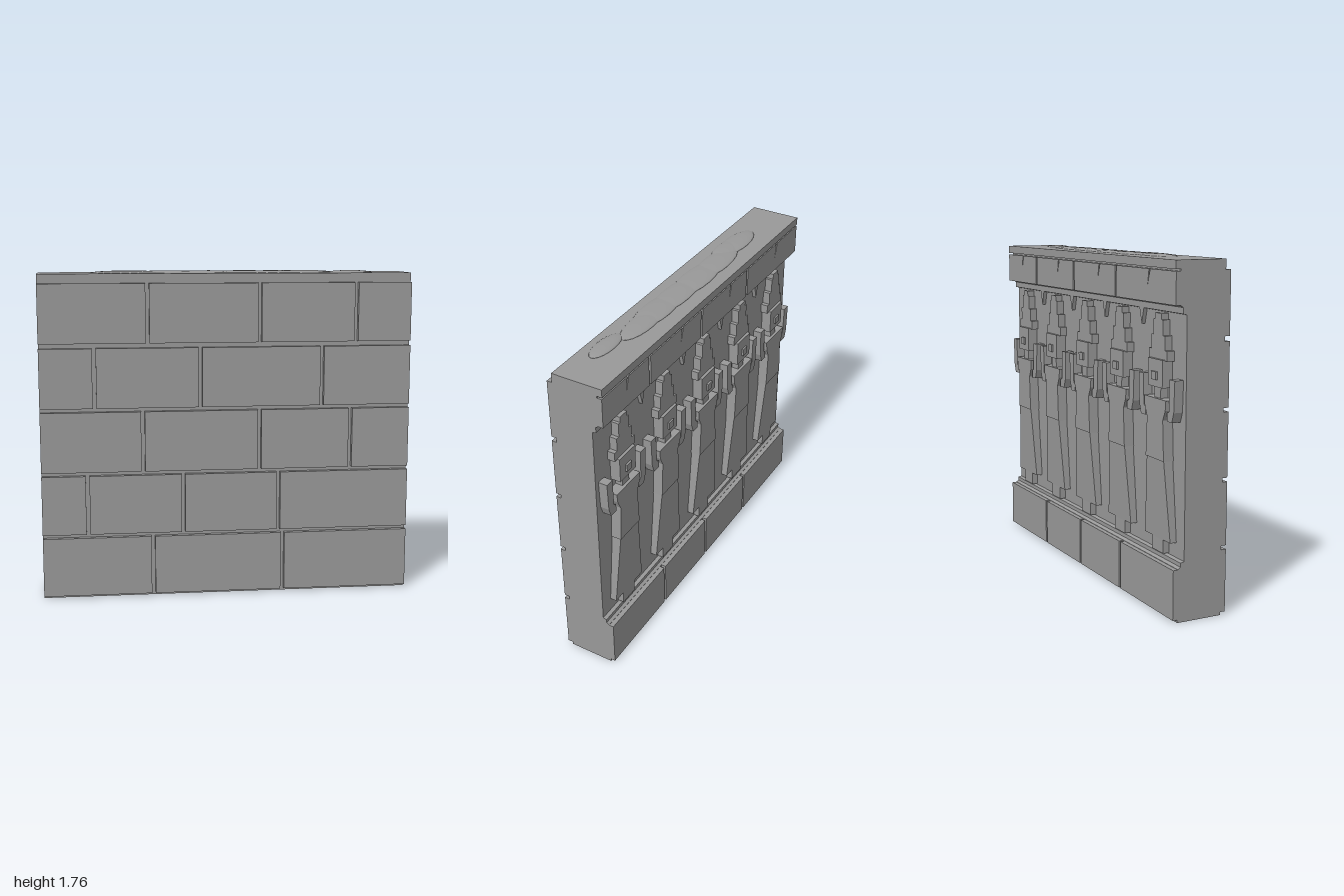
import * as THREE from 'three';

const stone = new THREE.MeshStandardMaterial({ color: 0x999999 });
stone.name = 'grey stone';

function add(parent, name, geometry, x = 0, y = 0, z = 0) {
  const mesh = new THREE.Mesh(geometry, stone);
  mesh.name = name;
  mesh.position.set(x, y, z);
  parent.add(mesh);
  return mesh;
}

// box given by its limits
function block(parent, name, x0, x1, y0, y1, z0, z1) {
  return add(parent, name, new THREE.BoxGeometry(x1 - x0, y1 - y0, z1 - z0),
    (x0 + x1) / 2, (y0 + y1) / 2, (z0 + z1) / 2);
}

function extrude(points, depth) {
  const shape = new THREE.Shape(points.map(([x, y]) => new THREE.Vector2(x, y)));
  return new THREE.ExtrudeGeometry(shape, { depth, bevelEnabled: false });
}

// mirror a right-hand outline to make a closed symmetric one
function symmetric(half) {
  return [...half, ...half.slice().reverse().map(([x, y]) => [-x, y])];
}

// spans between joints along the wall
function spans(joints, gap = 0.02) {
  const edges = [-1 - gap / 2, ...joints, 1 + gap / 2];
  return edges.slice(1).map((e, i) => [edges[i] + gap / 2, e - gap / 2]);
}

// one relief figure, facing local +z with its back on z = 0
function makeFigure() {
  const fig = new THREE.Group();
  fig.name = 'reliefFigure';
  block(fig, 'feet', -0.055, 0.055, 0.31, 0.39, -0.005, 0.033);

  // skirt grows thicker towards the waist
  const skirt = extrude(symmetric([[0.125, 0.38], [0.083, 0.78]]), 0.05);
  const p = skirt.attributes.position;
  for (let i = 0; i < p.count; i++) {
    if (p.getZ(i) > 0.01) p.setZ(i, 0.035 + (p.getY(i) - 0.38) * 0.04);
  }
  skirt.computeVertexNormals();
  add(fig, 'skirt', skirt);

  add(fig, 'torso', extrude(symmetric([[0.088, 0.78], [0.077, 0.98], [0.1, 1.03], [0.105, 1.08]]), 0.055));
  block(fig, 'neck', -0.03, 0.03, 1.07, 1.15, -0.005, 0.04);
  block(fig, 'head', -0.07, 0.07, 1.135, 1.27, -0.005, 0.055);
  block(fig, 'nose', -0.022, 0.022, 1.17, 1.21, 0.05, 0.065);

  // stepped headdress
  const tiers = [[0.088, 1.265, 1.315], [0.065, 1.315, 1.385], [0.045, 1.385, 1.46], [0.03, 1.46, 1.49]];
  for (const [w, y0, y1] of tiers) block(fig, 'headdressTier', -w, w, y0, y1, -0.005, 0.04);

  // raised forearms with bent elbows
  const arm = [[0.105, 0.98], [0.15, 0.98], [0.168, 1.03], [0.175, 1.185], [0.127, 1.185], [0.122, 1.03], [0.105, 1.02]];
  for (const s of [-1, 1]) {
    add(fig, 'raisedArm', extrude(arm.map(([x, y]) => [s * x, y]), 0.048));
  }
  return fig;
}

export function createModel() {
  const model = new THREE.Group();
  model.name = 'carvedWall';

  // wall core: side profile (z, y) swept along x
  const profile = [
    [0.125, 0], [0.125, 1.75], [-0.148, 1.75], [-0.148, 1.708], [-0.12, 1.708], [-0.12, 1.54],
    [-0.105, 1.53], [-0.105, 1.5], [-0.085, 1.495], [-0.085, 0.305], [-0.105, 0.3], [-0.105, 0.28],
    [-0.12, 0.27], [-0.12, 0]];
  const core = extrude(profile, 2);
  core.translate(0, 0, -1);
  core.rotateY(-Math.PI / 2);
  add(model, 'wallCore', core);

  // five courses of front blocks
  const courses = [
    [0.015, 0.335, [-0.405, 0.305]],
    [0.355, 0.675, [-0.755, -0.24, 0.28]],
    [0.695, 1.02, [-0.455, 0.175, 0.675]],
    [1.04, 1.36, [-0.71, -0.145, 0.515]],
    [1.385, 1.7, [-0.425, 0.175, 0.7]]];
  for (const [y0, y1, joints] of courses) {
    for (const [a, b] of spans(joints)) block(model, 'frontBlock', a, b, y0, y1, 0.12, 0.153);
  }

  // back base course
  for (const [a, b] of spans([-0.45, 0.02, 0.48], 0.015)) {
    block(model, 'backBaseBlock', a, b, 0.015, 0.268, -0.145, -0.115);
  }

  // back upper course, each block split by a thin slanted crack
  const cracks = [-0.75, -0.22, 0.28, 0.78];
  spans([-0.4, 0.09, 0.59], 0.015).forEach(([a, b], i) => {
    const c = cracks[i];
    const outline = [[a, 1.54], [b, 1.54], [b, 1.698], [c + 0.006, 1.698], [c + 0.02, 1.615], [c - 0.006, 1.698], [a, 1.698]];
    add(model, 'backUpperBlock', extrude(outline, 0.03), 0, 0, -0.146);
  });

  // pointed drops hanging between the figures
  for (const x of [-0.6, -0.2, 0.2, 0.6]) {
    add(model, 'hangingPoint', extrude([[-0.025, 1.51], [0, 1.42], [0.025, 1.51]], 0.022), x, 0, -0.105);
  }

  // row of figures on the back
  for (let i = -2; i <= 2; i++) {
    const fig = makeFigure();
    fig.position.set(i * 0.4, 0, -0.085);
    fig.rotation.y = Math.PI;
    model.add(fig);
  }

  // shallow lumpy crust along the top: x, z, half length, half width
  const lumps = [
    [-0.56, 0.005, 0.16, 0.065], [-0.47, 0.015, 0.14, 0.06], [-0.3, -0.01, 0.2, 0.072], [-0.1, -0.005, 0.22, 0.078],
    [0.1, 0.0, 0.22, 0.075], [0.28, 0.005, 0.2, 0.075], [0.42, 0.0, 0.18, 0.062], [0.68, 0.04, 0.125, 0.048]];
  for (const [x, z, rx, rz] of lumps) {
    const lump = add(model, 'topCrust', new THREE.SphereGeometry(1, 20, 12), x, 1.75, z);
    lump.scale.set(rx, 0.012, rz);
  }
  return model;
}
